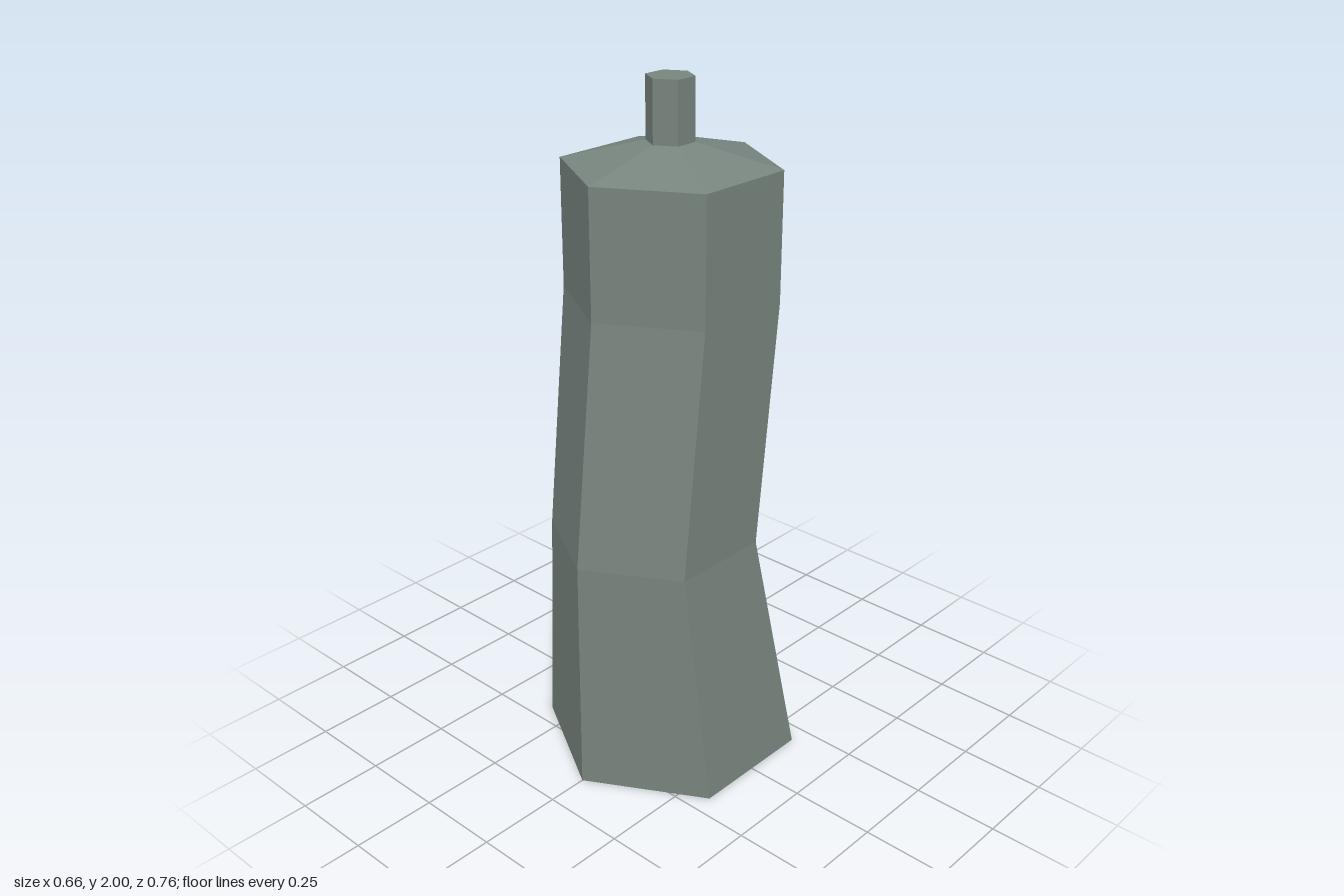
import * as THREE from 'three';

// Six-sided solid from [radius, height, z offset] rings, with flat faces
function hexSolid(name, rings, material) {
  const points = rings.map(([r, y]) => new THREE.Vector2(r, y));
  const lathe = new THREE.LatheGeometry(points, 6);
  const pos = lathe.attributes.position;
  // Rings repeat once per side, so shift each vertex by its ring's offset
  for (let i = 0; i < pos.count; i++) {
    pos.setZ(i, pos.getZ(i) + rings[i % rings.length][2]);
  }
  const geometry = lathe.toNonIndexed();
  geometry.computeVertexNormals();
  const mesh = new THREE.Mesh(geometry, material);
  mesh.name = name;
  return mesh;
}

export function createModel() {
  const group = new THREE.Group();
  group.name = 'hexagonalHandle';
  const greyGreen = new THREE.MeshStandardMaterial({ color: 0x78857f });
  greyGreen.name = 'grey green';

  // Bent body with a flared foot and a shallow sloped shoulder
  group.add(hexSolid('body', [
    [0, 0, 0],
    [0.38, 0, 0],
    [0.3, 0.71, 0.075],
    [0.3, 1.41, 0],
    [0.3, 1.77, 0],
    [0.066, 1.83, 0],
    [0, 1.83, 0],
  ], greyGreen));

  // Short peg on top
  group.add(hexSolid('peg', [
    [0.066, 1.82, 0],
    [0.066, 2, 0],
    [0, 2, 0],
  ], greyGreen));

  return group;
}
